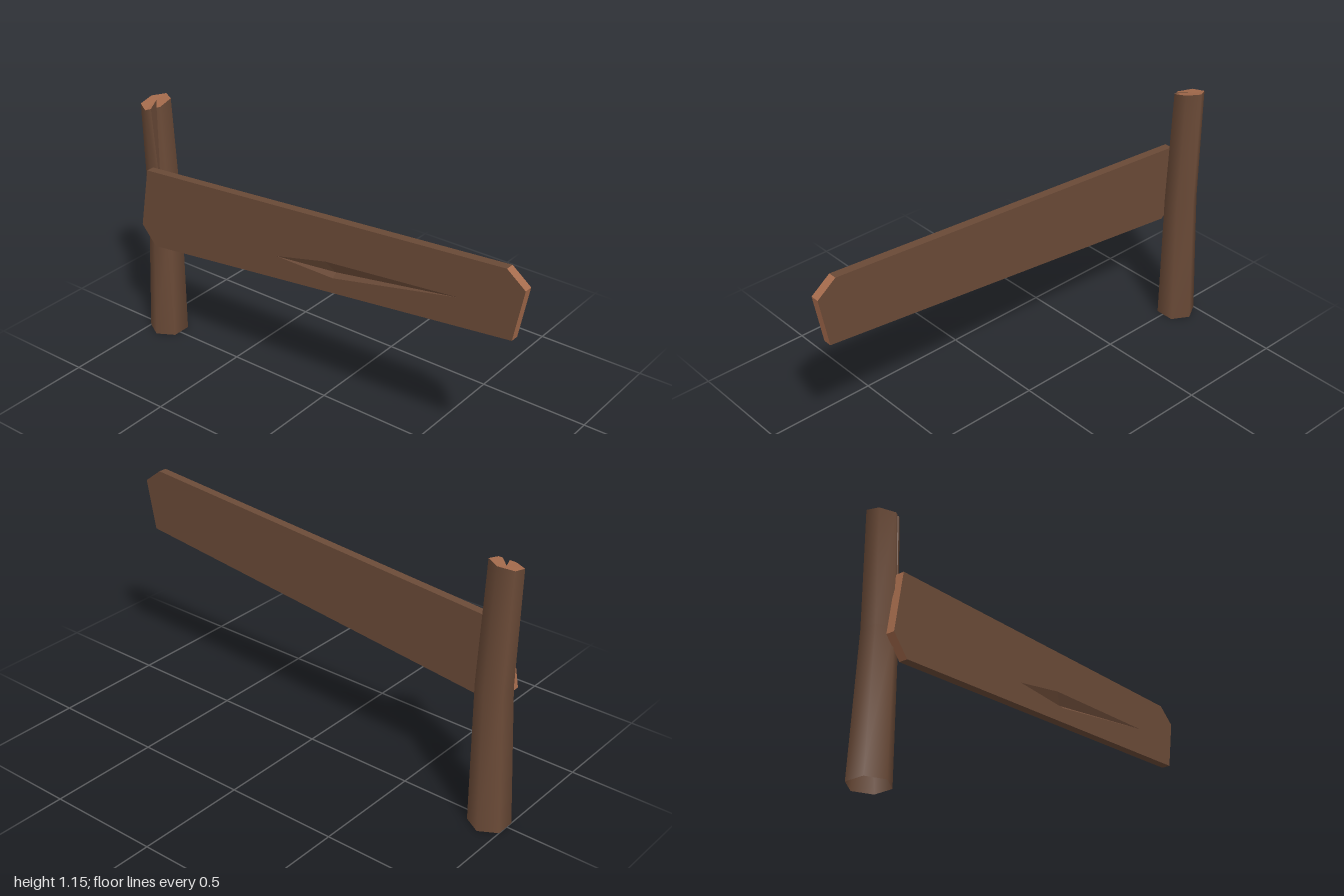
import * as THREE from 'three';

const bark = new THREE.MeshStandardMaterial({ color: 0x6a4a37, side: THREE.DoubleSide });
bark.name = 'darkWood';
const cut = new THREE.MeshStandardMaterial({ color: 0xa66c4d, side: THREE.DoubleSide });
cut.name = 'cutWood';

// Mesh from corner points and polygons (each polygon is fanned into triangles)
function surface(name, material, points, polygons, smooth = false) {
  const index = [];
  for (const p of polygons) {
    for (let i = 1; i < p.length - 1; i++) index.push(p[0], p[i], p[i + 1]);
  }
  let geo = new THREE.BufferGeometry();
  geo.setAttribute('position', new THREE.Float32BufferAttribute(points.flat(), 3));
  geo.setIndex(index);
  if (!smooth) geo = geo.toNonIndexed();
  geo.computeVertexNormals();
  const mesh = new THREE.Mesh(geo, material);
  mesh.name = name;
  return mesh;
}

// Hexagonal ring with its first corner at the front, going round through +x
function ring(cx, cz, r, heights) {
  return heights.map((y, i) => {
    const a = (i * Math.PI) / 3;
    return [cx + r * Math.sin(a), y, cz + r * Math.cos(a)];
  });
}

const mix = (a, b, t) => a.map((v, i) => v + (b[i] - v) * t);

// Bent, tapering post with a split running down from its slanted top
function buildPost() {
  const post = new THREE.Group();
  post.name = 'post';
  const low = ring(-0.924, -0.01, 0.088, Array(6).fill(0));
  const mid = ring(-0.906, -0.011, 0.074, Array(6).fill(0.62));
  const top = ring(-0.922, -0.007, 0.067, [1.115, 1.135, 1.152, 1.15, 1.135, 1.12]);

  const splitA = mix(top[0], top[1], 0.38);
  const splitB = mix(top[0], top[1], 0.76);
  const splitTip = mix(mix(mid[0], mid[1], 0.55), mix(top[0], top[1], 0.55), 0.18);
  const splitHeart = [-0.931, 1.135, -0.022];

  // Walls: indices 0-5 low, 6-11 mid, 12-17 top, 18 A, 19 B, 20 tip
  const walls = [];
  for (let i = 0; i < 6; i++) {
    const j = (i + 1) % 6;
    walls.push([i, j, 6 + j, 6 + i]);
    if (i > 0) walls.push([6 + i, 6 + j, 12 + j, 12 + i]);
  }
  walls.push([6, 7, 20], [7, 13, 20], [13, 19, 20], [20, 18, 12], [20, 12, 6]);
  post.add(surface('postSides', bark, [...low, ...mid, ...top, splitA, splitB, splitTip], walls, true));

  // Inside of the split
  post.add(surface('postSplit', bark, [splitTip, splitHeart, splitA, splitB], [[0, 1, 2], [0, 3, 1]]));

  // Notched cut top
  post.add(surface('postTop', cut, [splitHeart, splitB, ...top.slice(1), top[0], splitA],
    [[0, 1, 2], [0, 2, 3], [0, 3, 4], [0, 4, 5], [0, 5, 6], [0, 6, 7], [0, 7, 8]]));
  return post;
}

// Slightly tilted board with rough cut ends and a gouge in its front
function buildBoard() {
  const board = new THREE.Group();
  board.name = 'board';
  const thickness = 0.038;
  const at = (x, y, depth = 0) => [x, y, 0.11 - 0.02 * y - depth];

  const outline = [[-0.87, 0.49], [0.96, 0.70], [1.0, 0.925], [0.915, 0.99], [-0.90, 0.85], [-0.945, 0.575]];
  const gouge = [[-0.175, 0.674], [0.12, 0.672], [0.72, 0.798], [0.08, 0.735]];
  const front = outline.map(([x, y]) => at(x, y));
  const back = outline.map(([x, y]) => at(x, y, thickness));
  const rim = gouge.map(([x, y]) => at(x, y));

  const vec = (list) => list.map(([x, y]) => new THREE.Vector2(x, y));
  const faces = THREE.ShapeUtils.triangulateShape(vec(outline), [vec(gouge).reverse()]);
  board.add(surface('boardFront', bark, [...front, ...rim.slice().reverse()], faces));
  board.add(surface('boardBack', bark, back, [[5, 4, 3, 2, 1, 0]]));

  // Gouge sloping down to one deep point
  board.add(surface('boardGouge', bark, [...rim, at(0.12, 0.69, 0.022)],
    [[0, 1, 4], [1, 2, 4], [2, 3, 4], [3, 0, 4]]));

  // Long edges are dark, end cuts are pale
  const edge = (i) => {
    const j = (i + 1) % 6;
    return [i, 6 + i, 6 + j, j];
  };
  const corners = [...front, ...back];
  board.add(surface('boardLongEdges', bark, corners, [0, 3].map(edge)));
  board.add(surface('boardEnds', cut, corners, [1, 2, 4, 5].map(edge)));
  return board;
}

export function createModel() {
  const model = new THREE.Group();
  model.name = 'woodenSign';
  model.add(buildPost(), buildBoard());
  return model;
}
